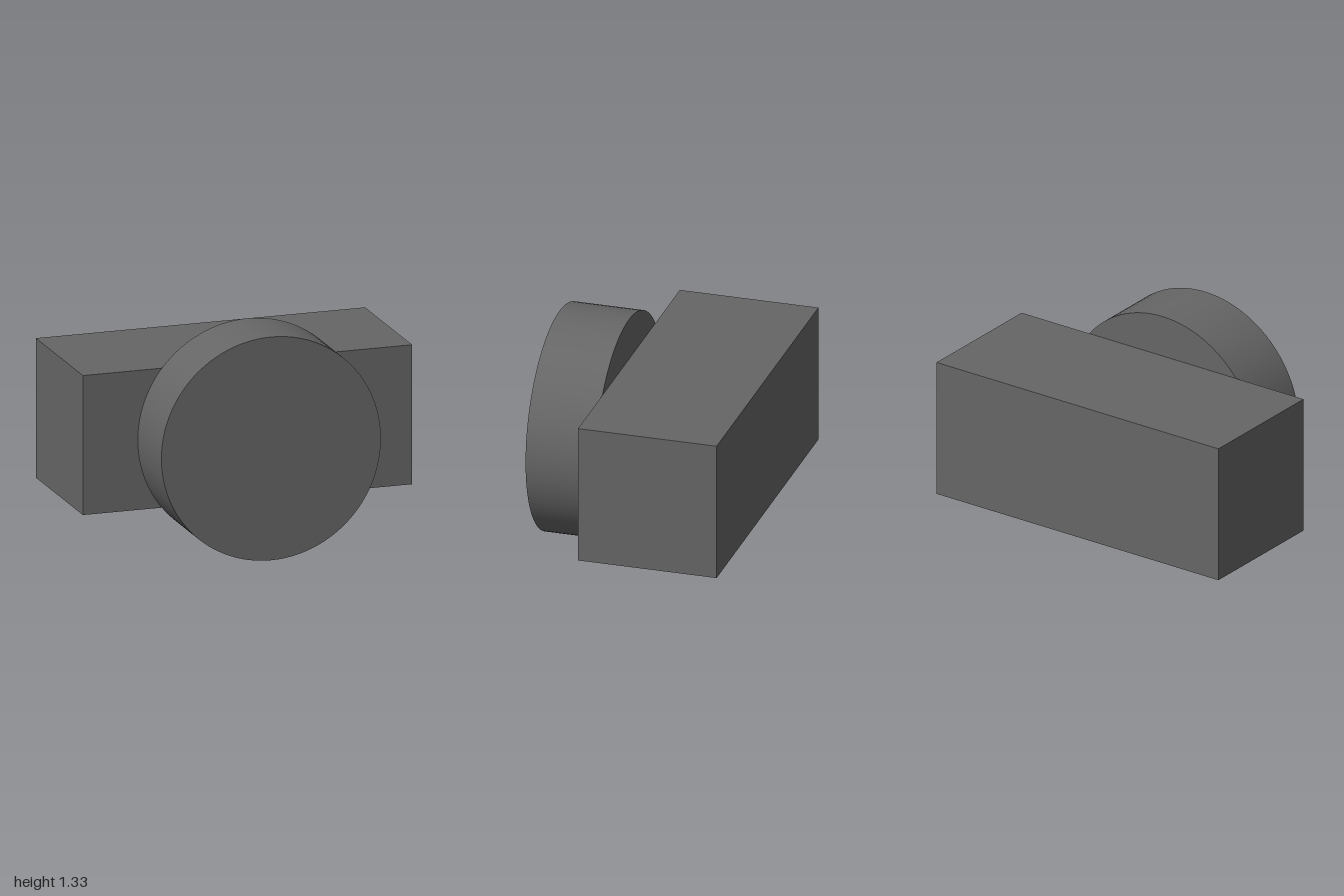
import * as THREE from 'three';

export function createModel() {
  const model = new THREE.Group();
  model.name = 'cameraShape';
  const darkGrey = new THREE.MeshStandardMaterial({ color: 0x666666 });
  darkGrey.name = 'darkGrey';

  const centreY = 2 / 3;
  const bodyDepth = 0.833;
  const lensDepth = 0.417;
  const back = -0.625;

  // Rectangular body
  const body = new THREE.Mesh(new THREE.BoxGeometry(2, 0.833, bodyDepth), darkGrey);
  body.name = 'body';
  body.position.set(0, centreY, back + bodyDepth / 2);
  model.add(body);

  // Round lens barrel, standing proud of the body front
  const lensGeometry = new THREE.CylinderGeometry(centreY, centreY, lensDepth, 96);
  lensGeometry.rotateX(Math.PI / 2);
  const lens = new THREE.Mesh(lensGeometry, darkGrey);
  lens.name = 'lens';
  lens.position.set(0, centreY, back + bodyDepth + lensDepth / 2);
  model.add(lens);

  return model;
}
